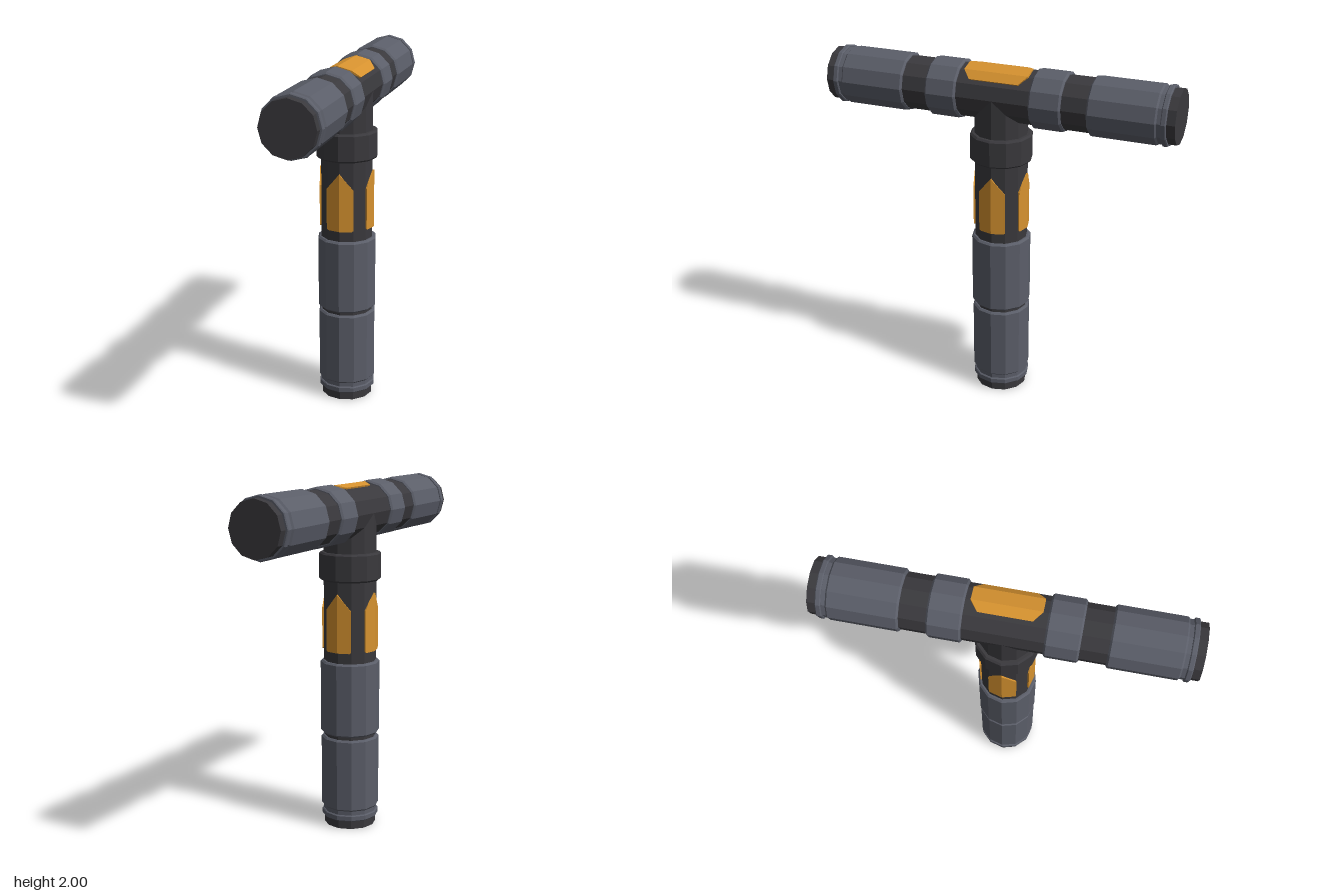
import * as THREE from 'three';

const SIDES = 12;
const BAR_Y = 1.835;
const CORE_R = 0.15;

export function createModel() {
  const dark = new THREE.MeshStandardMaterial({ color: 0x3a393d });
  dark.name = 'darkCore';
  const grey = new THREE.MeshStandardMaterial({ color: 0x5b5e69 });
  grey.name = 'greySleeve';
  const amber = new THREE.MeshStandardMaterial({ color: 0xd6922f });
  amber.name = 'amberPanel';

  const addMesh = (parent, name, geometry, material) => {
    const flat = geometry.index ? geometry.toNonIndexed() : geometry;
    flat.computeVertexNormals();
    const mesh = new THREE.Mesh(flat, material);
    mesh.name = name;
    parent.add(mesh);
    return mesh;
  };

  // Faceted band around the y axis, closed at both ends, with chamfered rims
  const band = (parent, name, r, y0, y1, material, bevel = 0.01) => {
    const profile = [[0, y0], [r - bevel, y0], [r, y0 + bevel], [r, y1 - bevel], [r - bevel, y1], [0, y1]];
    const points = (bevel ? profile : [[0, y0], [r, y0], [r, y1], [0, y1]])
      .map(([x, y]) => new THREE.Vector2(x, y));
    return addMesh(parent, name, new THREE.LatheGeometry(points, SIDES), material);
  };

  // Folded plate hugging the facets: columns of [x, z, low, high], left to right
  const panel = (parent, name, columns) => {
    const inset = 0.87;
    const pos = [];
    const tri = (a, b, c) => pos.push(...a, ...b, ...c);
    const quad = (a, b, c, d) => { tri(a, b, c); tri(a, c, d); };
    const cols = columns.map(([x, z, lo, hi]) => ({
      lo: [x, lo, z], hi: [x, hi, z],
      inLo: [x * inset, lo, z * inset], inHi: [x * inset, hi, z * inset],
    }));
    for (let i = 0; i < cols.length - 1; i++) {
      const a = cols[i], b = cols[i + 1];
      quad(a.lo, b.lo, b.hi, a.hi);
      quad(a.hi, b.hi, b.inHi, a.inHi);
      quad(a.inLo, b.inLo, b.lo, a.lo);
    }
    const first = cols[0], last = cols[cols.length - 1];
    quad(first.inLo, first.lo, first.hi, first.inHi);
    quad(last.lo, last.inLo, last.inHi, last.hi);
    const geometry = new THREE.BufferGeometry();
    geometry.setAttribute('position', new THREE.Float32BufferAttribute(pos, 3));
    return addMesh(parent, name, geometry, amber);
  };

  const model = new THREE.Group();
  model.name = 'tShapedHandle';

  // Upright stem
  const stem = new THREE.Group();
  stem.name = 'stem';
  model.add(stem);
  band(stem, 'stemCore', CORE_R, 0, BAR_Y, dark, 0);
  band(stem, 'endRing', 0.165, 0.05, 0.085, grey, 0.005);
  band(stem, 'endNeck', 0.155, 0.08, 0.115, grey, 0);
  band(stem, 'lowerSleeve', 0.167, 0.11, 0.54, grey);
  band(stem, 'upperSleeve', 0.17, 0.56, 0.99, grey);
  band(stem, 'collar', 0.176, 1.455, 1.615, dark);

  // Four pointed panels around the stem
  for (let i = 0; i < 4; i++) {
    panel(stem, 'stemPanel', [
      [-0.079, 0.139, 1.06, 1.295],
      [-0.07, 0.1412, 1.052, 1.305],
      [0, 0.16, 1.052, 1.388],
      [0.07, 0.1412, 1.052, 1.305],
      [0.079, 0.139, 1.06, 1.295],
    ]).rotation.y = i * Math.PI / 2;
  }

  // Cross bar, built upright and laid along z
  const bar = new THREE.Group();
  bar.name = 'crossBar';
  bar.position.y = BAR_Y;
  bar.rotation.x = -Math.PI / 2;
  model.add(bar);
  band(bar, 'barCore', CORE_R, -1, 1, dark, 0);
  for (const side of [-1, 1]) {
    const both = (name, r, a, b, bevel) =>
      band(bar, name, r, Math.min(side * a, side * b), Math.max(side * a, side * b), grey, bevel);
    both('barInnerSleeve', 0.165, 0.21, 0.39);
    both('barGrip', 0.164, 0.53, 0.905);
    both('barEndNeck', 0.155, 0.9, 0.93, 0);
    both('barEndRing', 0.165, 0.925, 0.955, 0.005);
  }

  // Eight-sided panel on top of the bar, turned toward one side
  panel(bar, 'topPanel', [
    [-0.055, 0.145, -0.14, 0.14],
    [0, 0.16, -0.183, 0.183],
    [0.08, 0.139, -0.183, 0.183],
    [0.12, 0.099, -0.14, 0.14],
  ]);

  return model;
}
